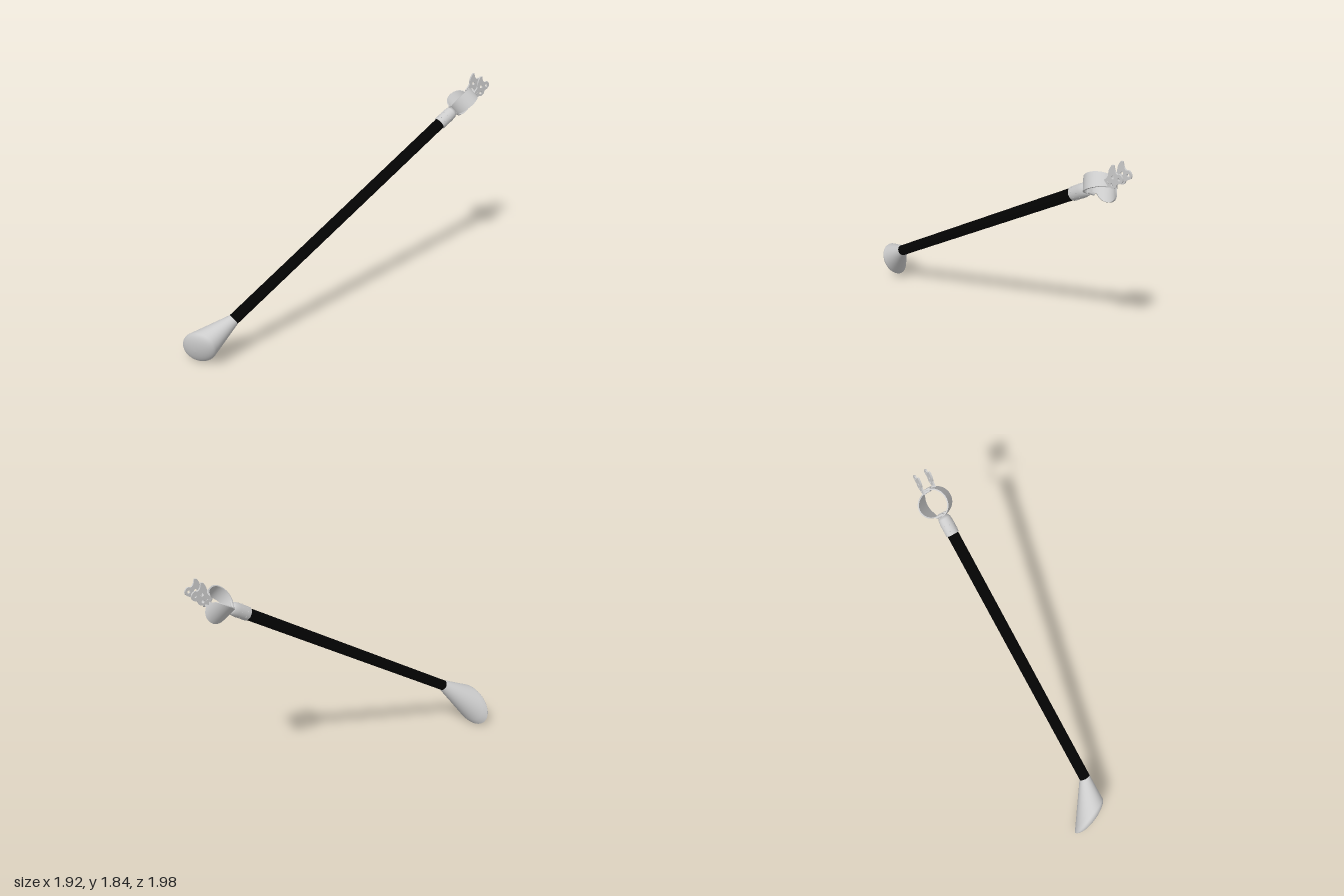
import * as THREE from 'three';

const V = (x, y, z) => new THREE.Vector3(x, y, z);
const grey = new THREE.MeshStandardMaterial({ color: 0xcccccc, side: THREE.DoubleSide });
const black = new THREE.MeshStandardMaterial({ color: 0x030303 });

// Shaft frame: X sideways (level), Y along the shaft, Z upward
const START = V(-0.572, 0.363, 0.808);
const AXIS = V(1.21, 1.15, -1.43).normalize();
const SIDE = V(1.43, 0, 1.21).normalize();
const UP = SIDE.clone().cross(AXIS);
const RING_Y = 2.455, RING_R = 0.106;

function add(parent, name, geometry, material, x = 0, y = 0, z = 0) {
  const mesh = new THREE.Mesh(geometry, material);
  mesh.name = name;
  mesh.position.set(x, y, z);
  parent.add(mesh);
  return mesh;
}

// Loft from the round shaft end to a tilted oval with a domed face
function footGeometry() {
  const N = 48, r = 0.044;
  const c = V(-0.8, 0.157, 0.91);
  const u = V(0.13, 0.13, 0.065), v = V(0.09, -0.09, 0);
  const b = v.clone().normalize(), a = b.clone().cross(AXIS).normalize();
  const out = v.clone().cross(u).normalize();
  const pos = [], index = [];
  const ring = (center, p, q) => {
    for (let j = 0; j < N; j++) {
      const t = (j / N) * Math.PI * 2;
      const w = center.clone().addScaledVector(p, Math.cos(t)).addScaledVector(q, Math.sin(t));
      pos.push(w.x, w.y, w.z);
    }
  };
  const p0 = a.multiplyScalar(r), q0 = b.clone().multiplyScalar(r);
  const base = START.clone().addScaledVector(AXIS, 0.015);
  let rings = 0;
  for (let i = 0; i <= 8; i++, rings++) {
    const k = i / 8;
    ring(base.clone().lerp(c, k), p0.clone().lerp(u, k), q0.clone().lerp(v, k));
  }
  for (let i = 1; i <= 10; i++, rings++) {
    const f = (i / 10) * Math.PI / 2, s = Math.max(Math.cos(f), 0.001);
    ring(c.clone().addScaledVector(out, 0.06 * Math.sin(f)),
      u.clone().multiplyScalar(s), v.clone().multiplyScalar(s));
  }
  for (let i = 0; i < rings - 1; i++) {
    for (let j = 0; j < N; j++) {
      const k = (j + 1) % N, A = i * N, B = A + N;
      index.push(A + j, B + j, A + k, A + k, B + j, B + k);
    }
  }
  const g = new THREE.BufferGeometry();
  g.setAttribute('position', new THREE.Float32BufferAttribute(pos, 3));
  g.setIndex(index);
  g.computeVertexNormals();
  return g;
}

// Bent strip around Z whose half width follows the angle
function bandGeometry(reach, halfWidth) {
  const g = new THREE.BoxGeometry(0.01, 2 * reach, 2, 1, 40, 1);
  const p = g.attributes.position;
  for (let i = 0; i < p.count; i++) {
    const f = p.getY(i), r = RING_R + p.getX(i);
    p.setXYZ(i, r * Math.cos(f), r * Math.sin(f), p.getZ(i) * halfWidth(f));
  }
  g.computeVertexNormals();
  return g;
}

// Fork plate outline with horn, rounded end and holes; x along shaft, y up
function plateGeometry() {
  const s = new THREE.Shape();
  s.moveTo(2.53, -0.024);
  s.lineTo(2.565, -0.032);
  s.quadraticCurveTo(2.585, -0.055, 2.612, -0.046);
  s.quadraticCurveTo(2.625, -0.027, 2.645, -0.032);
  s.quadraticCurveTo(2.685, -0.037, 2.69, -0.005);
  s.quadraticCurveTo(2.692, 0.028, 2.665, 0.028);
  s.quadraticCurveTo(2.645, 0.045, 2.664, 0.09);
  s.lineTo(2.65, 0.098);
  s.quadraticCurveTo(2.605, 0.08, 2.59, 0.045);
  s.quadraticCurveTo(2.57, 0.03, 2.53, 0.024);
  for (const [x, y, r] of [[2.59, -0.02, 0.011], [2.618, 0.022, 0.012], [2.662, -0.004, 0.011]]) {
    s.holes.push(new THREE.Path().absarc(x, y, r, 0, Math.PI * 2, true));
  }
  const g = new THREE.ExtrudeGeometry(s, { depth: 0.012, bevelEnabled: false, curveSegments: 10 });
  // shape x -> Y, shape y -> Z, depth -> X
  g.applyMatrix4(new THREE.Matrix4().makeBasis(V(0, 1, 0), V(0, 0, 1), V(1, 0, 0)));
  return g.translate(-0.006, 0.01, 0);
}

export function createModel() {
  const model = new THREE.Group();
  model.name = 'strut';
  add(model, 'foot', footGeometry(), grey);

  const shaft = new THREE.Group();
  shaft.name = 'shaftAssembly';
  shaft.applyMatrix4(new THREE.Matrix4().makeBasis(SIDE, AXIS, UP).setPosition(START));
  model.add(shaft);

  add(shaft, 'tube', new THREE.CylinderGeometry(0.043, 0.043, 2.24, 32), black, 0, 1.12, 0);

  // Collar with two rows of rivets
  const profile = [[0.044, 2.195], [0.05, 2.195], [0.051, 2.29], [0.047, 2.325], [0.036, 2.345], [0, 2.345]];
  add(shaft, 'collar', new THREE.LatheGeometry(profile.map(p => new THREE.Vector2(...p)), 32), grey);
  const rivet = new THREE.SphereGeometry(0.004, 8, 6);
  for (let i = 0; i < 16; i++) {
    const f = (i / 16) * Math.PI * 2;
    add(shaft, 'rivet', rivet, grey, 0.05 * Math.cos(f), i % 2 ? 2.225 : 2.27, 0.05 * Math.sin(f));
  }

  // Clamp ring, rolled about the shaft: a plain band on one side, a rounded pad on the other
  const clamp = new THREE.Group();
  clamp.name = 'clamp';
  clamp.position.y = RING_Y;
  clamp.rotation.y = -0.56;
  shaft.add(clamp);
  add(clamp, 'clampBand', bandGeometry(1.5, f => 0.036 + 0.02 * Math.cos(f)), grey);
  const pad = f => Math.max(0.024, 0.093 * Math.sqrt(Math.max(0, 1 - (f / 1.05) ** 2)));
  add(clamp, 'clampPad', bandGeometry(1.5, pad), grey).rotation.z = Math.PI;

  // Hinge lugs and pins at both ends of the ring
  for (const end of [-1, 1]) {
    add(clamp, 'hingeBlock', new THREE.BoxGeometry(0.05, 0.02, 0.06), grey, 0, end * 0.108, 0);
    for (const z of [-0.032, 0.032]) {
      const pin = add(clamp, 'hingePin', new THREE.CylinderGeometry(0.01, 0.01, 0.06, 12), grey,
        -0.01, end * 0.098, z);
      pin.rotation.z = Math.PI / 2;
    }
  }

  // Fork at the tip
  add(shaft, 'forkBridge', new THREE.BoxGeometry(0.098, 0.014, 0.046), grey, 0, 2.565, 0);
  const plate = plateGeometry();
  for (const x of [-0.046, 0.046]) {
    add(shaft, 'forkPlate', plate, grey, x, 0, 0);
    const boss = add(shaft, 'forkBoss', new THREE.CylinderGeometry(0.009, 0.009, 0.022, 12), grey, x, 2.572, 0);
    boss.rotation.z = Math.PI / 2;
  }
  return model;
}
